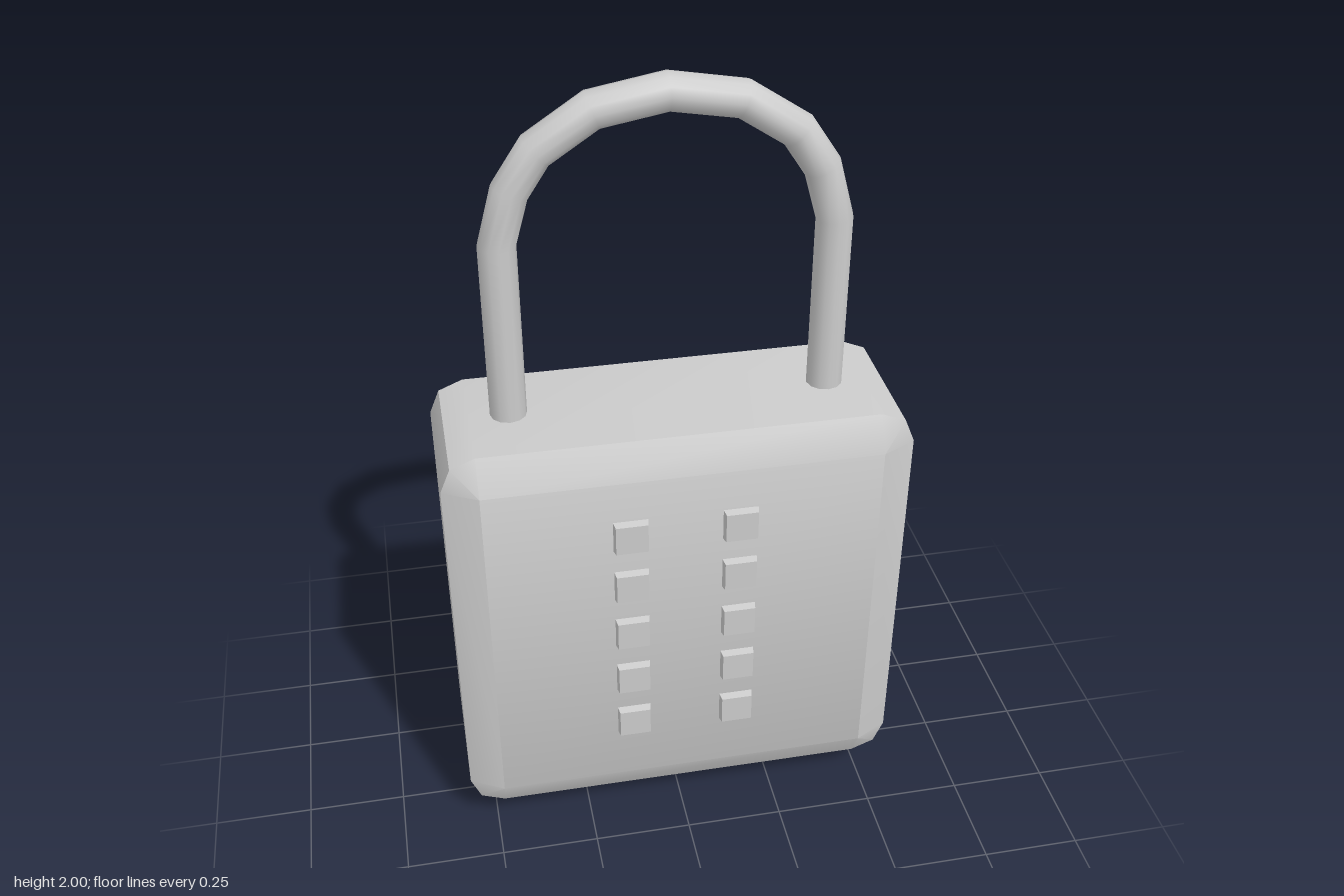
import * as THREE from 'three';
import { toCreasedNormals } from 'three/addons/utils/BufferGeometryUtils.js';

const grey = new THREE.MeshStandardMaterial({ color: 0xcccccc });

function add(parent, name, geometry, x = 0, y = 0, z = 0) {
  const mesh = new THREE.Mesh(geometry, grey);
  mesh.name = name;
  mesh.position.set(x, y, z);
  parent.add(mesh);
  return mesh;
}

// Case: rounded outline swept back to front, its corners closing to points on the front face
function caseGeometry() {
  const inX = 0.48, inY = 0.468, r = 0.085, midY = 0.638;
  const corners = [[1, 1], [-1, 1], [-1, -1], [1, -1]];
  const outline = [], inner = [];
  corners.forEach(([sx, sy], c) => {
    for (let i = 0; i < 3; i++) {
      const a = c * Math.PI / 2 + i * Math.PI / 4;
      outline.push([sx * inX + r * Math.cos(a), midY + sy * inY + r * Math.sin(a)]);
      inner.push([sx * inX, midY + sy * inY]);
    }
  });
  const rings = [[outline, -0.205], [outline, 0.14], [inner, 0.185]]
    .map(([pts, z]) => pts.map(([x, y]) => [x, y, z]));
  const pos = [];
  const tri = (a, b, c) => pos.push(...a, ...b, ...c);
  const n = outline.length;
  for (let i = 0; i < n; i++) {
    const j = (i + 1) % n;
    const [b, m, f] = rings;
    tri(b[i], b[j], m[j]);
    tri(b[i], m[j], m[i]);
    tri(m[i], m[j], f[j]);
    if (i % 3 === 2) tri(m[i], f[j], f[i]);
    if (i > 0 && i < n - 1) tri(b[0], b[j], b[i]);
  }
  const f = rings[2];
  tri(f[0], f[3], f[6]);
  tri(f[0], f[6], f[9]);
  const g = new THREE.BufferGeometry();
  g.setAttribute('position', new THREE.Float32BufferAttribute(pos, 3));
  return toCreasedNormals(g, Math.PI / 6);
}

// Straight-segment path with one tube ring at every point
class Polyline extends THREE.Curve {
  constructor(points) {
    super();
    this.points = points;
  }
  getUtoTmapping(u) {
    return u;
  }
  getPoint(t, target = new THREE.Vector3()) {
    const s = t * (this.points.length - 1);
    const i = Math.min(Math.floor(s), this.points.length - 2);
    return target.lerpVectors(this.points[i], this.points[i + 1], s - i);
  }
}

export function createModel() {
  const group = new THREE.Group();
  group.name = 'combinationPadlock';

  add(group, 'case', caseGeometry());

  // Shackle
  const half = [[0.385, 1.15], [0.385, 1.63], [0.35, 1.755], [0.29, 1.845], [0.165, 1.927]];
  const path = [
    ...half.map(([x, y]) => new THREE.Vector3(-x, y, 0)),
    new THREE.Vector3(0, 1.956, 0),
    ...half.slice().reverse().map(([x, y]) => new THREE.Vector3(x, y, 0)),
  ];
  add(group, 'shackle', new THREE.TubeGeometry(new Polyline(path), path.length - 1, 0.044, 12), 0, 0, -0.035);

  // Two columns of tapered push buttons
  const buttons = new THREE.Group();
  buttons.name = 'buttons';
  group.add(buttons);
  const key = new THREE.CylinderGeometry(0.039 * Math.SQRT2, 0.044 * Math.SQRT2, 0.03, 4, 1)
    .rotateY(Math.PI / 4).rotateX(Math.PI / 2);
  const keyGeometry = toCreasedNormals(key, Math.PI / 6);
  for (const x of [-0.133, 0.133]) {
    for (let row = 0; row < 5; row++) {
      add(buttons, 'button', keyGeometry, x, 0.363 + row * 0.148, 0.19);
    }
  }

  // Slide latch and small stop beneath the case
  add(group, 'slideLatch', new THREE.BoxGeometry(0.48, 0.1, 0.12), 0.075, 0.05, -0.035);
  add(group, 'latchStop', new THREE.BoxGeometry(0.1, 0.1, 0.126), -0.25, 0.05, -0.035);

  return group;
}
